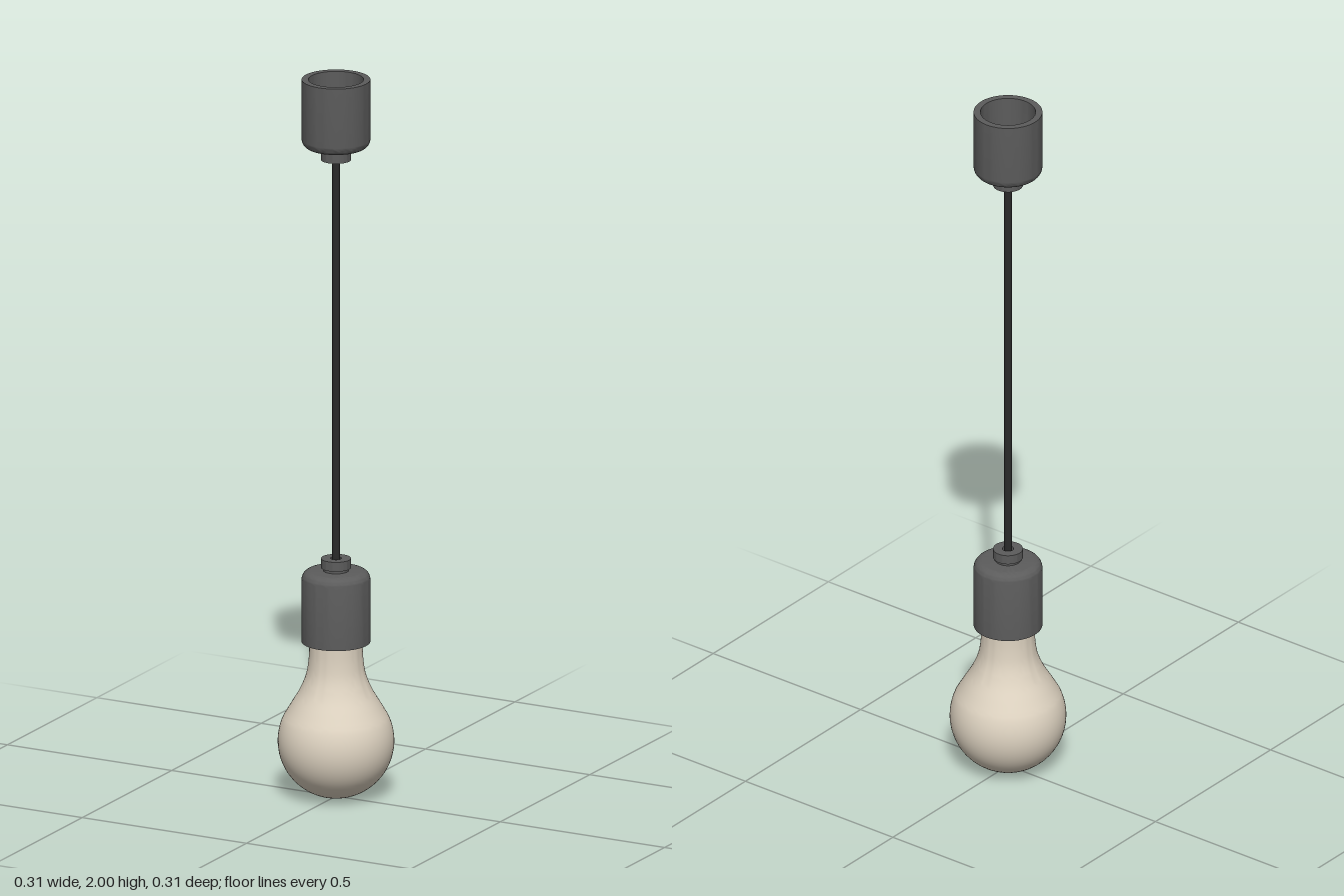
import * as THREE from 'three';
import { toCreasedNormals } from 'three/addons/utils/BufferGeometryUtils.js';

const V = (x, y) => new THREE.Vector2(x, y);

function lathe(name, points, material, crease = 0.6) {
  const mesh = new THREE.Mesh(toCreasedNormals(new THREE.LatheGeometry(points, 64), crease), material);
  mesh.name = name;
  return mesh;
}

// Hollow cup, open at y = 0, with a rounded shoulder and a pierced floor at the top
function cupProfile(height, depth) {
  const R = 0.092, inner = 0.074, fillet = 0.024, hole = 0.015;
  const pts = [V(hole, depth), V(inner, depth), V(inner, 0), V(R, 0)];
  for (let i = 0; i <= 8; i++) {
    const a = (i / 8) * Math.PI / 2;
    pts.push(V(R - fillet + fillet * Math.cos(a), height - fillet + fillet * Math.sin(a)));
  }
  pts.push(V(hole, height), V(hole, depth));
  return pts;
}

// Cup with its cord grip: a short neck and a slightly wider collar
function cup(name, height, depth, material) {
  const group = new THREE.Group();
  group.name = name;
  group.add(lathe(name + 'Shell', cupProfile(height, depth), material));
  const grip = lathe('cordGrip', [
    V(0.015, -0.008), V(0.034, -0.008), V(0.034, 0.008), V(0.04, 0.008),
    V(0.04, 0.034), V(0.015, 0.034), V(0.015, -0.008),
  ], material);
  grip.position.y = height;
  group.add(grip);
  return group;
}

export function createModel() {
  const charcoal = new THREE.MeshStandardMaterial({ color: 0x5c5c5c });
  const black = new THREE.MeshStandardMaterial({ color: 0x2a2a2a, side: THREE.DoubleSide });
  const cream = new THREE.MeshStandardMaterial({ color: 0xddd2c0 });

  const model = new THREE.Group();
  model.name = 'pendantLamp';

  // Ceiling cup, opening upwards
  const canopy = cup('ceilingCup', 0.19, 0.09, charcoal);
  canopy.rotation.x = Math.PI;
  canopy.position.y = 2;
  model.add(canopy);

  // Bulb socket, opening downwards
  const socket = cup('bulbSocket', 0.198, 0.15, charcoal);
  socket.position.y = 0.432;
  model.add(socket);

  // Hollow cord between the two cups
  const cord = new THREE.Mesh(new THREE.CylinderGeometry(0.011, 0.011, 1.22, 24, 1, true), black);
  cord.name = 'cord';
  cord.position.y = 1.22;
  model.add(cord);

  // Bulb: spherical bottom flowing into a narrow neck
  const R = 0.156;
  const bulbPts = [];
  for (let i = 0; i <= 24; i++) {
    const a = -Math.PI / 2 + (i / 24) * (Math.PI / 2 + 0.45);
    bulbPts.push(V(Math.max(0, R * Math.cos(a)), R + R * Math.sin(a)));
  }
  const shoulder = new THREE.SplineCurve([
    bulbPts[24], V(0.121, 0.257), V(0.097, 0.298), V(0.08, 0.341), V(0.073, 0.385), V(0.071, 0.43),
  ]);
  bulbPts.push(...shoulder.getPoints(24).slice(1), V(0.071, 0.54), V(0.04, 0.565), V(0, 0.57));
  model.add(lathe('bulb', bulbPts, cream));

  return model;
}
